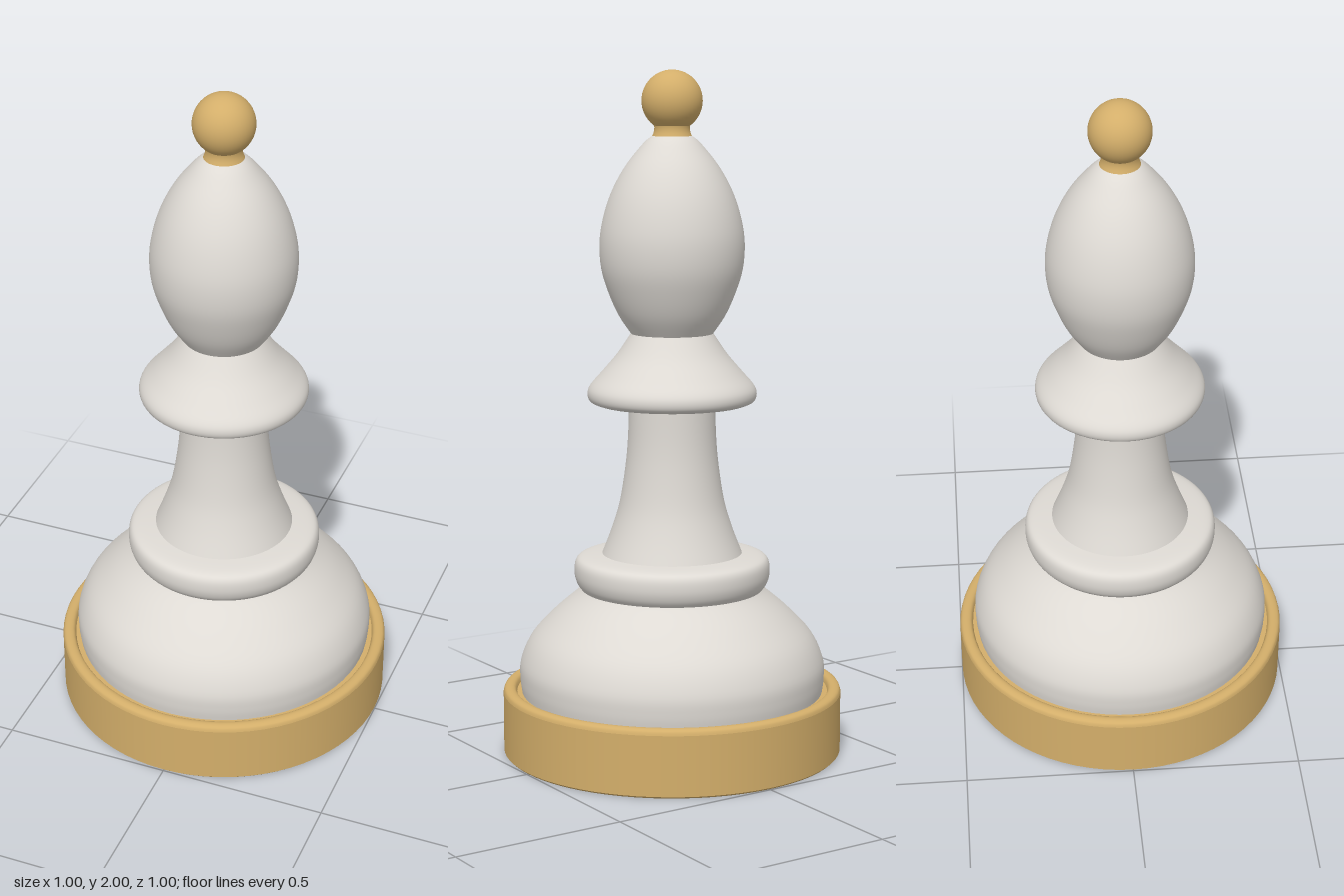
import * as THREE from 'three';

const SEGMENTS = 72;

// Smooth curve through a few [radius, height] points
const curve = (pts, n = 20) =>
  new THREE.SplineCurve(pts.map(([r, y]) => new THREE.Vector2(r, y))).getPoints(n);

// Straight profile line
const line = (...pts) => pts.map(([r, y]) => new THREE.Vector2(r, y));

export function createModel() {
  const ivory = new THREE.MeshStandardMaterial({ color: 0xdedad4 });
  ivory.name = 'ivory';
  const gold = new THREE.MeshStandardMaterial({ color: 0xd3ae6a });
  gold.name = 'gold';

  const model = new THREE.Group();
  model.name = 'bishopChessPiece';

  // Each part is a group of turned profiles; edges between profiles stay sharp
  const turned = (name, material, ...profiles) => {
    const part = new THREE.Group();
    part.name = name;
    profiles.forEach((p, i) => {
      const mesh = new THREE.Mesh(new THREE.LatheGeometry(p, SEGMENTS), material);
      mesh.name = `${name}Surface${i + 1}`;
      part.add(mesh);
    });
    model.add(part);
  };

  // Gold foot ring with rounded rim and a narrow groove inside it
  turned('baseRing', gold,
    line([0, 0], [0.495, 0]),
    line([0.495, 0], [0.5, 0.005]),
    line([0.5, 0.005], [0.5, 0.18]),
    curve([[0.5, 0.18], [0.495, 0.192], [0.48, 0.197], [0.466, 0.193], [0.46, 0.18]], 12),
    line([0.46, 0.18], [0.44, 0.18]));

  // Domed lower body
  turned('lowerBody', ivory,
    curve([[0.445, 0.18], [0.45, 0.22], [0.447, 0.275], [0.415, 0.345], [0.35, 0.415], [0.28, 0.475], [0.265, 0.49]], 28));

  // Rounded collar above the body
  turned('collar', ivory,
    curve([[0.265, 0.485], [0.28, 0.505], [0.288, 0.535], [0.284, 0.57], [0.262, 0.586], [0.2, 0.594]], 24));

  // Flared stem
  turned('stem', ivory,
    curve([[0.207, 0.59], [0.178, 0.665], [0.154, 0.745], [0.137, 0.85], [0.129, 0.94], [0.126, 1.045]]));

  // Sloped flange with a flat underside
  turned('flange', ivory,
    line([0.12, 1.037], [0.22, 1.037]),
    curve([[0.22, 1.037], [0.241, 1.047], [0.247, 1.068], [0.238, 1.092], [0.205, 1.13], [0.16, 1.183], [0.118, 1.245]], 28));

  // Egg-shaped head
  turned('head', ivory,
    curve([[0.118, 1.24], [0.155, 1.295], [0.184, 1.36], [0.205, 1.43], [0.21, 1.505], [0.2, 1.575],
      [0.178, 1.645], [0.145, 1.71], [0.105, 1.765], [0.06, 1.81], [0, 1.83]], 40));

  // Gold finial: short neck and ball
  turned('finialNeck', gold,
    curve([[0.06, 1.805], [0.052, 1.825], [0.052, 1.845], [0.06, 1.86]], 8));
  const ball = new THREE.Mesh(new THREE.SphereGeometry(0.088, 40, 28), gold);
  ball.name = 'finialBall';
  ball.position.y = 1.912;
  model.add(ball);

  return model;
}
